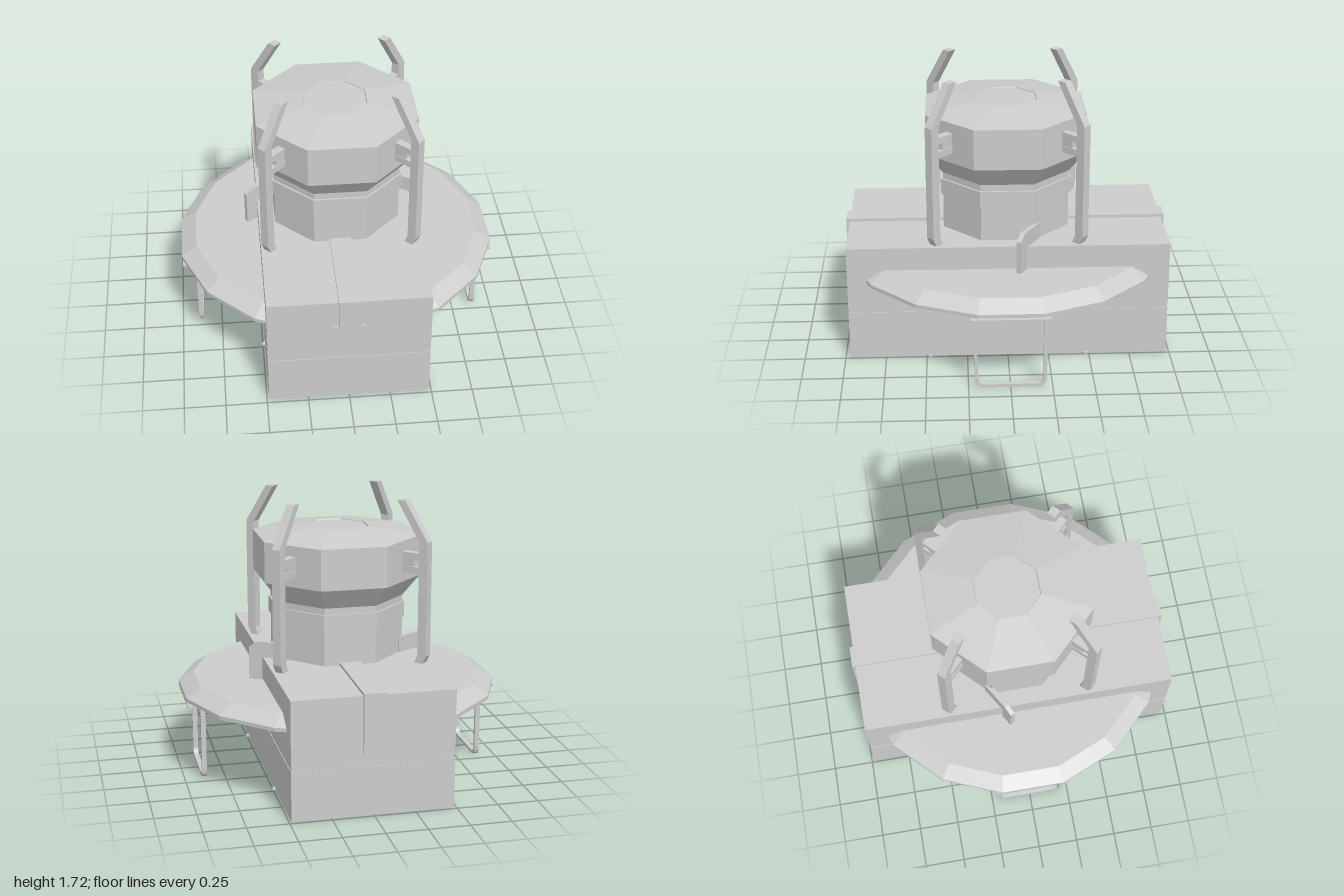
import * as THREE from 'three';
import { ConvexGeometry } from 'three/addons/geometries/ConvexGeometry.js';

export function createModel() {
  const model = new THREE.Group();
  const grey = new THREE.MeshStandardMaterial({ color: 0xcccccc, flatShading: true, side: THREE.DoubleSide });
  grey.name = 'plain grey';

  const add = (name, geometry, parent = model) => {
    const mesh = new THREE.Mesh(geometry, grey);
    mesh.name = name;
    parent.add(mesh);
    return mesh;
  };
  // Box given by its limits on each axis
  const box = (name, x0, x1, y0, y1, z0, z1, parent) =>
    add(name, new THREE.BoxGeometry(x1 - x0, y1 - y0, z1 - z0)
      .translate((x0 + x1) / 2, (y0 + y1) / 2, (z0 + z1) / 2), parent);
  const shapeOf = (points) => new THREE.Shape(points.map(([a, b]) => new THREE.Vector2(a, b)));
  // Outline extruded evenly to both sides of its plane
  const slab = (shape, depth) => new THREE.ExtrudeGeometry(shape, { depth, bevelEnabled: false, curveSegments: 5 })
    .translate(0, 0, -depth / 2);
  // Outline in (z, y), thickness along x
  const sideSlab = (shape, depth, x) => slab(shape, depth).rotateY(-Math.PI / 2).translate(x, 0, 0);
  const lathe = (profile, sides) => new THREE.LatheGeometry(
    profile.map(([r, y]) => new THREE.Vector2(r, y)), sides, Math.PI / sides);

  // Main case: two thin shells, open below, with a shallow groove between them
  const X = 0.487, BACK = -0.98, FRONT = 0.972, TOP = 0.73, T = 0.01, INSET = 0.004;
  const lowerSide = shapeOf([[BACK, 0], [FRONT, 0], [FRONT, 0.305], [0.28, 0.305], [0.155, 0.425],
    [-0.155, 0.425], [-0.28, 0.305], [BACK, 0.305]]);
  const upperSide = shapeOf([[BACK, TOP], [BACK, 0.33], [-0.27, 0.33], [-0.155, 0.445],
    [0.155, 0.445], [0.27, 0.33], [FRONT, 0.33], [FRONT, TOP]]);
  for (const s of [-1, 1]) {
    add('lowerCaseSide', sideSlab(lowerSide, T, s * (X - T / 2)));
    add('upperCaseSide', sideSlab(upperSide, T, s * (X - T / 2)));
    add('grooveSide', new THREE.BoxGeometry(T, 0.2, 1.94).translate(s * (X - INSET - T / 2), 0.37, -0.004));
  }
  for (const [z, inward] of [[FRONT, -1], [BACK, 1]]) {
    const near = Math.min(z, z + inward * T), groove = near + inward * INSET;
    box('lowerCaseEnd', -X, X, 0, 0.305, near, near + T);
    box('upperCaseEnd', -X, X, 0.33, TOP, near, near + T);
    box('grooveEnd', -X + INSET, X - INSET, 0.28, 0.35, groove, groove + T);
  }
  box('caseTop', -X, X, TOP - T, TOP, BACK, FRONT);

  // Stepped octagonal column inside the case
  add('innerColumn', lathe([[0.5, 0.02], [0.5, 0.12], [0.43, 0.18], [0.43, 0.4], [0.39, 0.44], [0.39, 0.72]], 8));

  // Ring and tapered strut outline under the case
  add('baseRing', lathe([[0.21, 0], [0.25, 0], [0.25, 0.1], [0.21, 0.1], [0.21, 0]], 24));
  const strut = shapeOf([[0.24, -0.1], [0.5, -0.045], [0.7, -0.02], [0.7, 0.02], [0.5, 0.045], [0.24, 0.1]]);

  // Octagonal turret with a slightly sunken cap
  add('turretNeck', lathe([[0.417, 0.7], [0.417, 0.95], [0.43, 0.95], [0.43, 1.05], [0.417, 1.05], [0.417, 1.09]], 8));
  add('turretHead', lathe([[0.417, 1.09], [0.525, 1.222], [0.525, 1.472], [0.206, 1.518], [0.203, 1.51], [0, 1.51]], 8));

  // Four bent prongs, each with a clamp joining it to the turret
  const prong = shapeOf([[0.58, 0.01], [0.635, 0.01], [0.635, 0.73], [0.658, 0.78], [0.658, 1.48], [0.503, 1.72],
    [0.448, 1.72], [0.6, 1.48], [0.6, 0.78], [0.58, 0.73]]);
  for (let i = 0; i < 4; i++) {
    const arm = new THREE.Group();
    arm.name = 'prongAssembly';
    arm.rotation.y = (i + 0.5) * Math.PI / 2;
    model.add(arm);
    add('prong', slab(prong, 0.055), arm);
    box('clampUpper', 0.47, 0.61, 1.37, 1.41, -0.025, 0.025, arm);
    box('clampLower', 0.47, 0.61, 1.285, 1.325, -0.025, 0.025, arm);
    box('clampCore', 0.47, 0.56, 1.325, 1.37, -0.02, 0.02, arm);
    add('baseStrut', slab(strut, 0.012).rotateX(Math.PI / 2).translate(0, 0.0061, 0), arm);
    box('strutFoot', 0.5, 0.57, 0.012, 0.06, -0.035, 0.035, arm);
  }

  // Strap over the case, with a pin at the front
  box('strapTop', -0.065, 0.065, TOP, 0.747, -1, 0.995);
  box('strapFront', -0.065, 0.065, 0.385, 0.747, FRONT, 0.995);
  box('strapBack', -0.065, 0.065, 0.385, 0.747, -1, BACK);
  box('strapPin', -0.095, 0.095, 0.545, 0.556, FRONT, 0.985);

  // Side wing outline: part of a sixteen-sided disc, cut at the case
  const rim = (r, y) => {
    const at = (k) => [r * Math.cos((k + 0.5) * Math.PI / 8), r * Math.sin((k + 0.5) * Math.PI / 8)];
    const [a, b] = [at(2), at(3)];
    const cut = a[1] + (b[1] - a[1]) * (a[0] - 0.48) / (a[0] - b[0]);
    return [[0.48, cut], a, at(1), at(0)].flatMap(([x, z]) =>
      [new THREE.Vector3(x, y, z), new THREE.Vector3(x, y, -z)]);
  };

  // Stirrup loop with rounded lower corners
  const loop = (w, y0, y1, r) => {
    const s = new THREE.Shape();
    s.moveTo(-w, y1).lineTo(-w, y0 + r).quadraticCurveTo(-w, y0, -w + r, y0)
      .lineTo(w - r, y0).quadraticCurveTo(w, y0, w, y0 + r).lineTo(w, y1).closePath();
    return s;
  };
  const stirrup = loop(0.215, 0.003, 0.475, 0.06);
  stirrup.holes.push(loop(0.195, 0.023, 0.44, 0.045));

  // Hook reaching from the turret over the edge of the case
  const hook = shapeOf([[0, 0.73], [0, 0.83], [0.19, 0.83], [0.245, 0.79], [0.245, 0.58], [0.165, 0.58], [0.165, 0.73]]);

  for (const s of [1, -1]) {
    const side = new THREE.Group();
    side.name = s > 0 ? 'leftSide' : 'rightSide';
    side.scale.x = s;
    model.add(side);
    add('wing', new ConvexGeometry([...rim(0.995, 0.502), ...rim(0.995, 0.525), ...rim(0.9, 0.586)]), side);
    box('stirrupPlate', 0.48, 0.972, 0.472, 0.487, -0.235, 0.235, side);
    add('stirrup', sideSlab(stirrup, 0.03, 0.88), side);
    add('hook', slab(hook, 0.03).rotateY(-0.54).translate(0.35, 0, -0.186), side);
  }
  return model;
}
